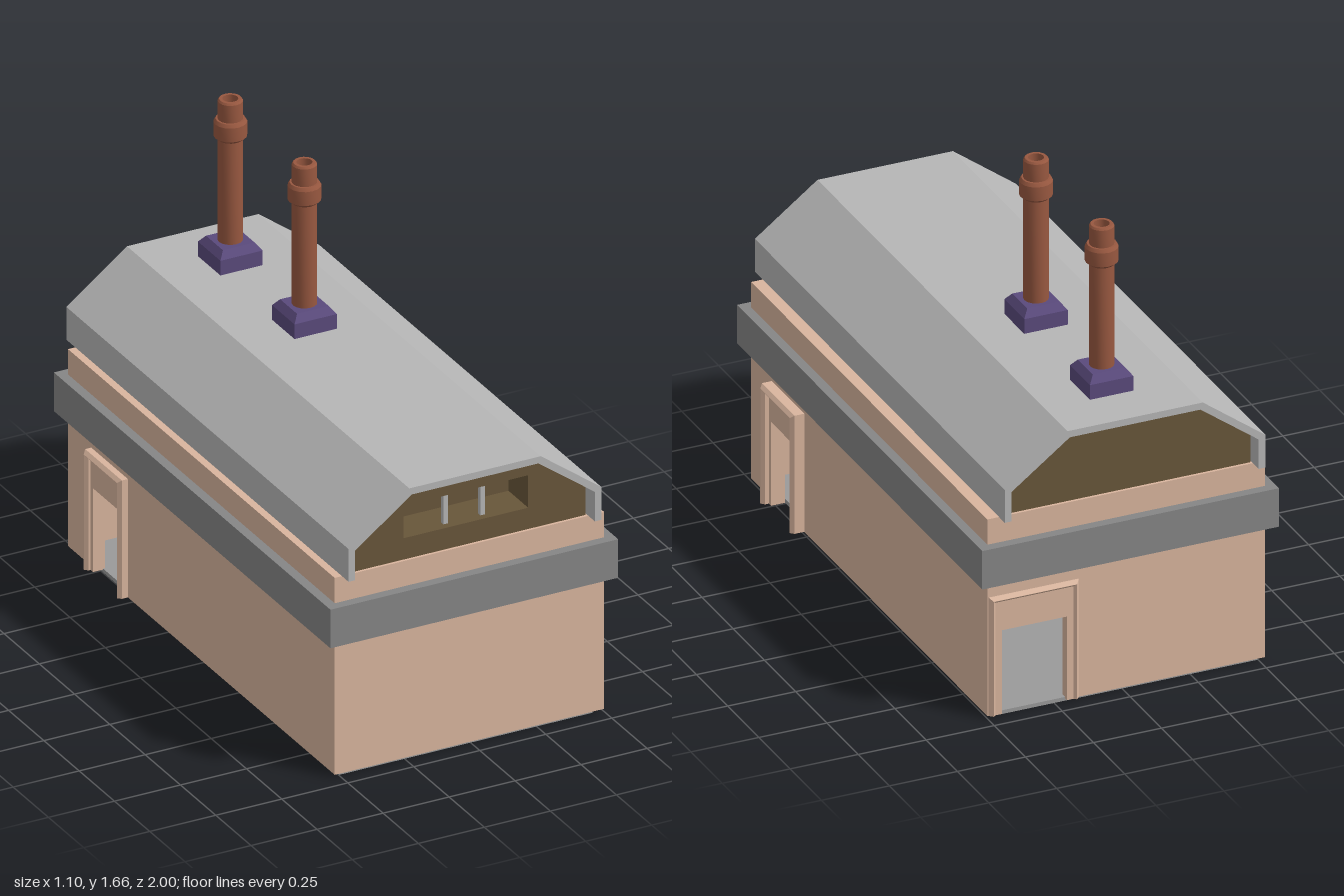
import * as THREE from 'three';
import { toCreasedNormals } from 'three/addons/utils/BufferGeometryUtils.js';

const mat = (color) => new THREE.MeshStandardMaterial({ color, flatShading: true });
const PEACH = mat(0xd9b59e), BELT = mat(0x868686), ROOF = mat(0xb6b6b6), GABLE = mat(0x68563a);
const RUST = new THREE.MeshStandardMaterial({ color: 0x985840, side: THREE.DoubleSide });
const PURPLE = mat(0x5a4a7c), FLOOR = mat(0x9a9a9a), IRON = mat(0x6c706f);
const CX = -0.01, HX = 0.51, HZ = 0.945, T = 0.03, BASE = 0.01;

function add(parent, name, geometry, material, x = 0, y = 0, z = 0) {
  const mesh = new THREE.Mesh(geometry, material);
  mesh.name = name;
  mesh.position.set(x, y, z);
  parent.add(mesh);
  return mesh;
}

function shapeOf(points) {
  return new THREE.Shape(points.map(([x, y]) => new THREE.Vector2(x, y)));
}

function extrude(points, depth, hole) {
  const shape = shapeOf(points);
  if (hole) shape.holes.push(new THREE.Path(hole.map(([x, y]) => new THREE.Vector2(x, y))));
  return new THREE.ExtrudeGeometry(shape, { depth, bevelEnabled: false });
}

// Upside-down U: a block of width w and height h with a doorway cut from the bottom
function arch(w, h, ow, oh, cx = 0) {
  return [[-w / 2, 0], [cx - ow / 2, 0], [cx - ow / 2, oh], [cx + ow / 2, oh],
    [cx + ow / 2, 0], [w / 2, 0], [w / 2, h], [-w / 2, h]];
}

// One lower wall, outer face at local z = 0, with an optional framed doorway
function wall(name, length, rotation, x, z, door) {
  const group = new THREE.Group();
  group.name = name;
  group.position.set(x, BASE, z);
  group.rotation.y = rotation;
  const h = 0.59;
  const outline = door
    ? arch(length, h, door.open, 0.315, door.at)
    : [[-length / 2, 0], [length / 2, 0], [length / 2, h], [-length / 2, h]];
  add(group, 'wallPanel', extrude(outline, T), PEACH, 0, 0, -T);
  if (door) {
    const { at, width, open, depth } = door;
    // Flat surround and a raised chamfered rim around it
    add(group, 'doorSurround', extrude(arch(width - 0.02, 0.435, open, 0.315), depth * 0.45), PEACH, at);
    const b = 0.012;
    const rim = new THREE.ExtrudeGeometry(
      shapeOf(arch(width - 2 * b, 0.445 - b, width - 0.05 + 2 * b, 0.42 + b)),
      { depth: depth - b, bevelThickness: b, bevelSize: b, bevelOffset: 0, bevelSegments: 1 });
    // Keep the foot of the rim above the ground
    const p = rim.attributes.position;
    for (let i = 0; i < p.count; i++) if (p.getY(i) < 0) p.setY(i, 0);
    rim.computeVertexNormals();
    add(group, 'doorRim', rim, PEACH, at);
  }
  return group;
}

function chimney(z) {
  const group = new THREE.Group();
  group.name = 'chimney';
  group.position.set(-0.012, 1.045, z);
  // Square base with a chamfered top
  const b = 0.02;
  const foot = new THREE.CylinderGeometry(0.08 * Math.SQRT2, 0.08 * Math.SQRT2, 0.06, 4).rotateY(Math.PI / 4);
  add(group, 'chimneyBase', foot, PURPLE, 0, 0.03);
  const cap = new THREE.CylinderGeometry((0.08 - b) * Math.SQRT2, 0.08 * Math.SQRT2, 0.026, 4).rotateY(Math.PI / 4);
  add(group, 'chimneyBaseTop', cap, PURPLE, 0, 0.073);
  // Hollow pipe with a collar near the top
  const profile = [[0.043, 0.08], [0.043, 0.466], [0.057, 0.478], [0.057, 0.53], [0.05, 0.542],
    [0.043, 0.542], [0.043, 0.608], [0.038, 0.615], [0.027, 0.615], [0.027, 0.5], [0, 0.5]];
  const pipe = new THREE.LatheGeometry(profile.map(([r, y]) => new THREE.Vector2(r, y)), 16);
  add(group, 'chimneyPipe', toCreasedNormals(pipe, 0.5), RUST);
  return group;
}

export function createModel() {
  const model = new THREE.Group();
  model.name = 'building';

  // Floor slab
  add(model, 'floor', new THREE.BoxGeometry(0.96, 0.014, 1.87), FLOOR, -0.018, 0.007, 0);

  // Lower walls with three doorways
  const q = Math.PI / 2, inner = 2 * (HX - T);
  model.add(
    wall('frontWall', inner, 0, CX, HZ),
    wall('backWall', inner, 2 * q, CX, -HZ, { at: -0.34, width: 0.33, open: 0.24, depth: 0.015 }),
    wall('rightSideWall', 2 * HZ, q, CX + HX, 0, { at: -0.65, width: 0.26, open: 0.175, depth: 0.048 }),
    wall('leftSideWall', 2 * HZ, -q, CX - HX, 0, { at: -0.65, width: 0.26, open: 0.175, depth: 0.035 }));

  // Upper wall and the projecting belt
  add(model, 'upperWall', new THREE.BoxGeometry(2 * HX, 0.15, 2 * HZ), PEACH, CX, 0.675, 0);
  add(model, 'belt', new THREE.BoxGeometry(1.09, 0.145, 1.96), BELT, CX, 0.5825, 0);

  // Gable block under the roof, with a recessed window in front
  const gable = [[-0.472, 0.745], [0.436, 0.745], [0.436, 0.866], [0.222, 1.026], [-0.258, 1.026], [-0.472, 0.866]];
  const windowHole = [[-0.255, 0.83], [-0.255, 0.952], [0.218, 0.952], [0.218, 0.83]];
  add(model, 'gableBlock', extrude(gable, 1.73), GABLE, 0, 0, -0.935);
  add(model, 'frontGable', extrude(gable, 0.14, windowHole), GABLE, 0, 0, 0.795);
  for (const x of [-0.08, 0.06])
    add(model, 'windowBar', new THREE.BoxGeometry(0.018, 0.122, 0.018), ROOF, x, 0.891, 0.9);

  // Faceted roof shell, open at both ends
  const roof = [[-0.497, 0.755], [-0.497, 0.878], [-0.267, 1.05], [0.231, 1.05], [0.461, 0.878], [0.461, 0.755],
    [0.436, 0.755], [0.436, 0.866], [0.222, 1.025], [-0.258, 1.025], [-0.472, 0.866], [-0.472, 0.755]];
  add(model, 'roof', extrude(roof, 2), ROOF, 0, 0, -1);

  for (const z of [-0.22, -0.745]) model.add(chimney(z));

  // Small machine inside the side doorway
  const machine = new THREE.Group();
  machine.name = 'machine';
  machine.position.set(0.25, 0.012, 0.69);
  add(machine, 'machineBase', new THREE.BoxGeometry(0.1, 0.085, 0.1), IRON, 0, 0.043, 0);
  add(machine, 'machineBracket', new THREE.BoxGeometry(0.1, 0.1, 0.03), RUST, 0, 0.05, -0.065);
  add(machine, 'machineStem', new THREE.CylinderGeometry(0.02, 0.035, 0.12, 12), IRON, 0, 0.14, 0);
  add(machine, 'machineRing', new THREE.TorusGeometry(0.035, 0.01, 6, 12).rotateX(q), RUST, 0, 0.14, 0);
  add(machine, 'machineHead', new THREE.CylinderGeometry(0.045, 0.025, 0.11, 12), IRON, 0, 0.25, 0);
  model.add(machine);

  return model;
}
